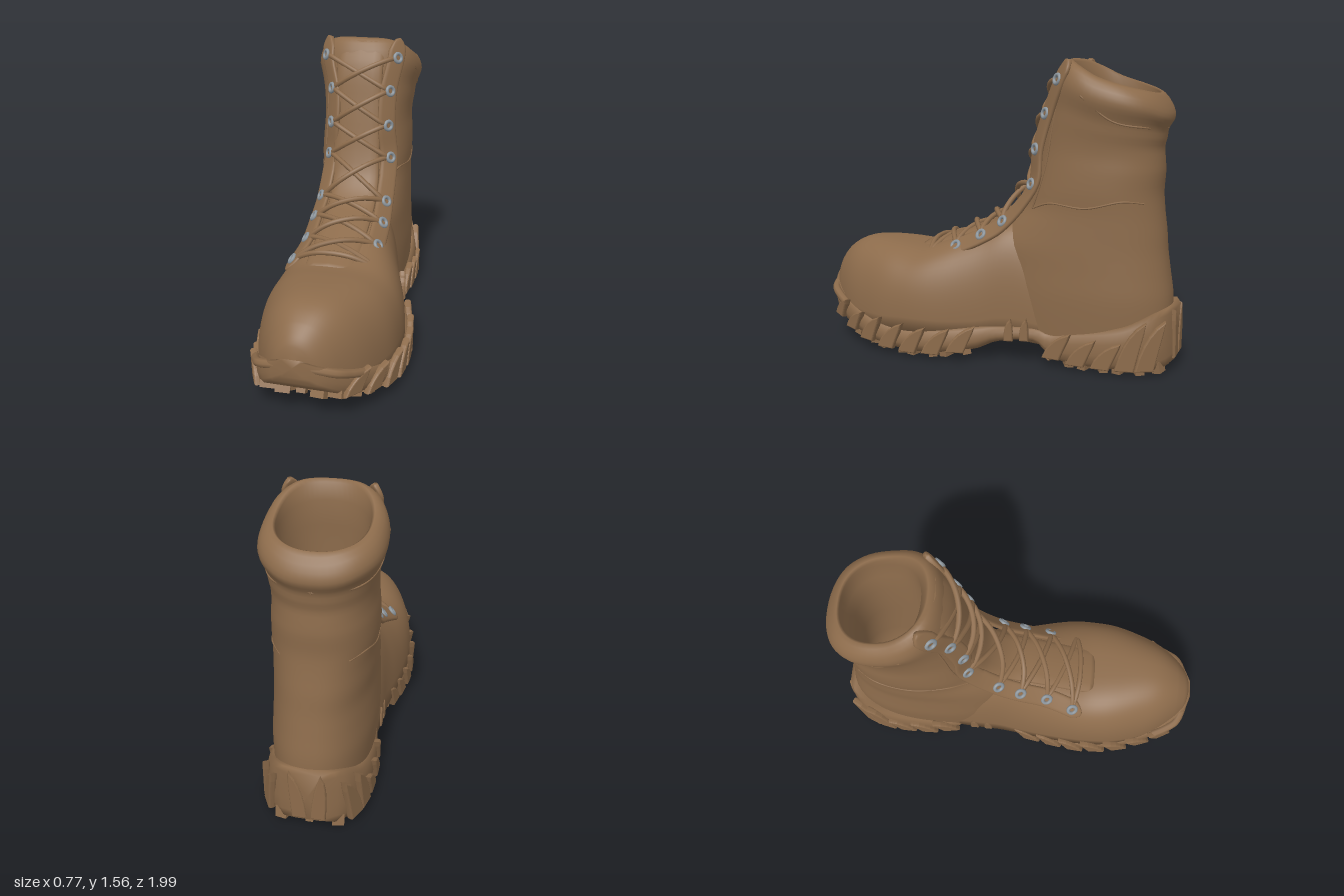
import * as THREE from 'three';

const V = (x, y, z) => new THREE.Vector3(x, y, z);
const leather = new THREE.MeshStandardMaterial({ color: 0x8c6b4b, side: THREE.DoubleSide });
leather.name = 'brown leather';
const metal = new THREE.MeshStandardMaterial({ color: 0x8b949b });
metal.name = 'grey metal';

// Smooth interpolation through rows of [key, value, value, ...]
const table = rows => t => {
  const last = rows.length - 1;
  t = Math.min(Math.max(t, rows[0][0]), rows[last][0]);
  let i = 0;
  while (i < last - 1 && t > rows[i + 1][0]) i++;
  const slope = (k, c) => {
    const a = rows[Math.max(k - 1, 0)], b = rows[Math.min(k + 1, last)];
    return (b[c] - a[c]) / (b[0] - a[0]);
  };
  const h = rows[i + 1][0] - rows[i][0], s = (t - rows[i][0]) / h;
  return rows[i].slice(1).map((p, c) => {
    const q = rows[i + 1][c + 1], m = slope(i, c + 1) * h, n = slope(i + 1, c + 1) * h;
    return p + s * (m + s * (3 * (q - p) - 2 * m - n + s * (2 * (p - q) + m + n)));
  });
};

// Skin a list of equal-sized closed rings, with both ends capped
function loft(rings) {
  const n = rings[0].length, pos = [], idx = [];
  rings.forEach(r => r.forEach(p => pos.push(p.x, p.y, p.z)));
  for (let i = 0; i < rings.length - 1; i++) for (let j = 0; j < n; j++) {
    const a = i * n + j, b = i * n + (j + 1) % n;
    idx.push(a, b, a + n, b, b + n, a + n);
  }
  [[0, true], [rings.length - 1, false]].forEach(([r, flip]) => {
    const c = pos.length / 3;
    const m = rings[r].reduce((s, p) => s.add(p), V(0, 0, 0)).divideScalar(n);
    pos.push(m.x, m.y, m.z);
    for (let j = 0; j < n; j++) {
      const a = r * n + j, b = r * n + (j + 1) % n;
      idx.push(...(flip ? [c, b, a] : [c, a, b]));
    }
  });
  const g = new THREE.BufferGeometry();
  g.setAttribute('position', new THREE.Float32BufferAttribute(pos, 3));
  g.setIndex(idx);
  g.computeVertexNormals();
  return g;
}
const sp = (v, e) => Math.sign(v) * Math.pow(Math.abs(v), e);
const steps = (a, b, n) => Array.from({ length: n + 1 }, (_, i) => a + (b - a) * i / n);

// z: half width, centre x, top, base, roundness
const foot = table([[-0.36, 0.23, -0.055, 0.62, 0.12, 2.6], [-0.2, 0.247, -0.05, 0.71, 0.12, 2.8], [-0.1, 0.262, -0.04, 0.72, 0.12, 2.8],
  [0, 0.285, -0.03, 0.69, 0.12, 2.6], [0.1, 0.31, -0.02, 0.65, 0.12, 2.6], [0.2, 0.332, -0.01, 0.61, 0.12, 2.7],
  [0.3, 0.347, -0.005, 0.572, 0.12, 2.9], [0.4, 0.352, -0.005, 0.548, 0.12, 3], [0.55, 0.342, -0.008, 0.557, 0.12, 2.8],
  [0.7, 0.3, -0.015, 0.56, 0.14, 2.5], [0.8, 0.255, -0.02, 0.545, 0.16, 2.4], [0.88, 0.2, -0.025, 0.505, 0.19, 2.3],
  [0.94, 0.145, -0.03, 0.45, 0.23, 2.1], [0.975, 0.09, -0.035, 0.395, 0.27, 2], [0.99, 0.02, -0.035, 0.33, 0.3, 2]]);

// level: back z, front z, half width, centre x
const shaft = table([[0.1, -0.95, 0, 0.235, -0.05], [0.35, -0.955, 0, 0.252, -0.055], [0.5, -0.935, 0, 0.248, -0.055],
  [0.6, -0.92, -0.01, 0.245, -0.055], [0.7, -0.91, -0.08, 0.245, -0.06], [0.8, -0.895, -0.165, 0.243, -0.062],
  [0.9, -0.885, -0.205, 0.25, -0.066], [1.0, -0.89, -0.23, 0.248, -0.067], [1.1, -0.885, -0.25, 0.242, -0.067],
  [1.18, -0.88, -0.268, 0.245, -0.067], [1.25, -0.89, -0.285, 0.253, -0.067], [1.32, -0.895, -0.3, 0.262, -0.07],
  [1.43, -0.925, -0.325, 0.288, -0.07], [1.5, -0.915, -0.35, 0.276, -0.07], [1.55, -0.885, -0.38, 0.25, -0.07]]);
const rim = table([[-0.95, 1.33], [-0.9, 1.36], [-0.85, 1.39], [-0.75, 1.42], [-0.6, 1.465], [-0.5, 1.515], [-0.42, 1.55], [-0.3, 1.55]]);
function shaftPoint(a, y, inset = 0) {
  let [zb, zf, hw, cx] = shaft(y);
  if (inset > 0.05) zf = Math.min(zf - 0.04, -0.38);
  zb += inset; zf -= inset; hw -= inset;
  const z = (zb + zf) / 2 + (zf - zb) / 2 * sp(Math.cos(a), 2 / 2.3);
  const yy = y > 1 ? 1 + (y - 1) * (rim(z)[0] - 1) / 0.55 : y;
  return V(cx + hw * sp(Math.sin(a), 2 / 2.3), yy, z);
}

// z: half width, centre x, bottom, top
const sole = table([[-0.985, 0.07, -0.06, 0.06, 0.31], [-0.96, 0.13, -0.06, 0.04, 0.32], [-0.9, 0.195, -0.055, 0.025, 0.3],
  [-0.75, 0.25, -0.05, 0.022, 0.23], [-0.5, 0.26, -0.05, 0.022, 0.18], [-0.38, 0.25, -0.045, 0.045, 0.16],
  [-0.3, 0.245, -0.04, 0.11, 0.18], [-0.1, 0.27, -0.02, 0.1, 0.18], [0, 0.3, -0.005, 0.06, 0.17],
  [0.2, 0.345, 0.005, 0.025, 0.15], [0.4, 0.365, 0, 0.022, 0.14], [0.6, 0.345, -0.005, 0.045, 0.17],
  [0.8, 0.27, -0.02, 0.095, 0.23], [0.9, 0.21, -0.03, 0.14, 0.27], [0.97, 0.13, -0.035, 0.2, 0.31], [0.995, 0.05, -0.04, 0.25, 0.34]]);

// Eyelets from top to toe: y, z, right x, left x
const eyelets = [[1.455, -0.395, -0.26, 0.125], [1.285, -0.325, -0.21, 0.1], [1.105, -0.275, -0.2, 0.103],
  [0.925, -0.26, -0.21, 0.122], [0.72, -0.105, -0.215, 0.135], [0.64, 0.015, -0.22, 0.145],
  [0.57, 0.16, -0.222, 0.152], [0.505, 0.305, -0.252, 0.18]];
const hole = (i, s) => V(eyelets[i][s > 0 ? 3 : 2], eyelets[i][0], eyelets[i][1]);
// Outward direction in the side plane at eyelet i
const out = i => {
  const a = eyelets[Math.max(i - 1, 0)], b = eyelets[Math.min(i + 1, 7)];
  return V(0, b[1] - a[1], a[0] - b[0]).normalize();
};

export function createModel() {
  const model = new THREE.Group();
  model.name = 'boot';
  const add = (name, geo, mat = leather, parent = model) => {
    const m = new THREE.Mesh(geo, mat);
    m.name = name;
    parent.add(m);
    return m;
  };
  const group = name => { const g = new THREE.Group(); g.name = name; model.add(g); return g; };
  const tube = (pts, r, seg = 24) => new THREE.TubeGeometry(new THREE.CatmullRomCurve3(pts), seg, r, 8);

  // Foot of the upper
  add('footUpper', loft([...steps(-0.36, 0.9, 44), ...steps(0.91, 0.99, 10)].map(z => {
    const [hw, cx, top, base, n] = foot(z);
    return steps(0, Math.PI, 36).map(a =>
      V(cx + hw * sp(Math.cos(a), 2 / n), base + (top - base) * sp(Math.sin(a), 2 / n), z));
  })));

  // Hollow shaft: outside, rolled rim, lining down to the insole
  const levels = [...steps(0.1, 1.53, 48).map(y => [y, 0]), [1.55, 0.01], [1.558, 0.03], [1.545, 0.045],
    [1.48, 0.07], [1.35, 0.065], [1.2, 0.06], [0.9, 0.06], [0.6, 0.06], [0.28, 0.07]];
  add('shaft', loft(levels.map(([y, k]) => steps(0, Math.PI * 2, 56).slice(0, 56).map(a => shaftPoint(a, y, k)))));

  // Sole body
  const half = [[0.88, 0], [0.97, 0.15], [1, 0.4], [0.99, 0.7], [0.95, 0.95], [0.86, 1.05]];
  const section = [...half, ...half.map(([x, y]) => [-x, y]).reverse()];
  add('sole', loft([...steps(-0.985, 0.9, 60), ...steps(0.92, 0.995, 8)].map(z => {
    const [hw, cx, b, t] = sole(z);
    return section.map(([x, y]) => V(cx + hw * x, b + (t - b) * y, z));
  })));

  // Slanted fins around the sole wall
  const fins = group('soleFins');
  const fin = (p, back, w, h, lean) => {
    const s = new THREE.Shape();
    s.moveTo(-w, 0);
    s.lineTo(w * 0.8, 0);
    s.quadraticCurveTo(w * 0.9 + lean * 0.3, h * 0.5, w * 0.4 + lean, h);
    s.quadraticCurveTo(-w + lean * 0.5, h * 0.7, -w, 0);
    const g = new THREE.ExtrudeGeometry(s, { depth: 0.012, bevelSize: 0.008, bevelThickness: 0.012, bevelSegments: 3, curveSegments: 5 });
    g.translate(0, 0, -0.006);
    const up = V(0, 1, 0);
    const m = add('fin', g, leather, fins);
    m.quaternion.setFromRotationMatrix(new THREE.Matrix4().makeBasis(back, up, back.clone().cross(up)));
    m.position.copy(p);
  };
  const edge = (z, s) => { const [hw, cx, b] = sole(z); return V(cx + s * hw, b, z); };
  for (const s of [-1, 1]) {
    for (const z of [0.86, 0.74, 0.61, 0.48, 0.35, 0.22, 0.09, -0.17, -0.25, -0.4, -0.53, -0.66, -0.78, -0.87]) {
      const t = edge(z - 0.03, s).sub(edge(z + 0.03, s)).setY(0).normalize();
      const arch = z < -0.1 && z > -0.3;
      const p = edge(z, s);
      p.y += 0.012;
      fin(p, t, arch ? 0.018 : 0.045, arch ? 0.1 : z < -0.7 ? 0.24 : z > 0.7 ? 0.1 : 0.13, arch ? 0 : 0.075);
    }
    fin(V(-0.06 + s * 0.045, 0.075, -0.975), V(1, 0, 0), 0.032, 0.24, s * 0.03);
  }

  // Toe bumper
  const rail = s => [0.8, 0.87, 0.93].map(z => edge(z, s).setY(sole(z)[3] - 0.02));
  add('toeBumper', tube([...rail(-1), V(-0.035, 0.3, 0.972), ...rail(1).reverse()], 0.022, 36));

  // Tread blocks, tilted along the bottom
  const tread = group('tread');
  const block = new THREE.BoxGeometry(1, 0.06, 0.045);
  steps(-0.92, 0.88, 20).forEach((z, row) => {
    if (z > -0.37 && z < -0.02) return;
    const [hw, cx, b] = sole(z);
    [-0.76, -0.4, 0, 0.4, 0.76].forEach((f, c) => {
      const m = add('treadBlock', block, leather, tread);
      m.position.set(cx + f * hw, b + 0.009, z + (c % 2 ? 0.02 : 0));
      m.scale.x = hw * (c === 2 ? 0.2 : 0.32);
      m.rotation.set(-Math.atan((sole(z + 0.03)[2] - sole(z - 0.03)[2]) / 0.06),
        c === 2 ? 0 : Math.sign(f) * (row % 2 ? 0.5 : -0.25), 0);
    });
  });

  // Tongue running up the middle
  const tonguePath = new THREE.CatmullRomCurve3([V(-0.035, 0.54, 0.42), V(-0.035, 0.583, 0.29), V(-0.035, 0.65, 0.12),
    V(-0.04, 0.72, -0.05), V(-0.045, 0.82, -0.15), V(-0.055, 0.95, -0.205), V(-0.06, 1.2, -0.265), V(-0.065, 1.42, -0.32), V(-0.065, 1.54, -0.39)]);
  const ribbon = (curve, cross, width, d, bend) => loft(steps(0, 1, 48).map(u => {
    const p = curve.getPoint(u), c = cross(u), n = c.clone().cross(curve.getTangent(u)).normalize(), w = width(u);
    return steps(0, Math.PI * 2, 16).slice(0, 16).map(a => {
      const x = sp(Math.cos(a), 0.5);
      return p.clone().addScaledVector(c, w * x).addScaledVector(n, d * sp(Math.sin(a), 0.7) - bend * x * x);
    });
  }));
  add('tongue', ribbon(tonguePath, () => V(1, 0, 0), () => 0.13, 0.013, 0.02));

  for (const s of [-1, 1]) {
    const side = s > 0 ? 'left' : 'right';
    // Eyelet flap with rounded ends
    const path = new THREE.CatmullRomCurve3([hole(0, s).add(V(0, 0.1, -0.045)), ...eyelets.map((_, i) => hole(i, s)), V(s * 0.24 - 0.03, 0.47, 0.36)]);
    const taper = u => 0.055 * Math.sqrt(Math.min(1, 0.05 + u / 0.07, 0.05 + (1 - u) / 0.1));
    add(side + 'EyeletFlap', ribbon(path, u => u < 0.5 ? V(s * 0.72, 0, -0.69) : V(s * 0.75, -0.6, -0.3).normalize(), taper, 0.014, 0));
    // Eyelets
    const rings = group(side + 'Eyelets');
    eyelets.forEach((_, i) => {
      const n = out(i).add(V(s * 1.2, 0, 0)).normalize();
      const e = add('eyelet', new THREE.TorusGeometry(0.023, 0.01, 8, 20), metal, rings);
      e.position.copy(hole(i, s)).addScaledVector(n, 0.016);
      e.quaternion.setFromUnitVectors(V(0, 0, 1), n);
    });
    // Panel seams on the shaft side
    [[[0.75, 0.8], [1.1, 0.84], [1.6, 0.83], [2.1, 0.87], [2.5, 0.86]], [[0.7, 1.5], [0.8, 1.2], [0.8, 1], [0.75, 0.8]],
      [[1.3, 1.42], [1.8, 1.33], [2.4, 1.32], [Math.PI, 1.34]]].forEach(pts =>
      add(side + 'Seam', tube(pts.map(([a, y]) => shaftPoint(s * a, y)), 0.005, 30)));
  }

  // Crossed laces and the straight one by the toe
  const laces = group('laces');
  const lace = (i, j, s, lift) => {
    const a = hole(i, s), b = hole(j, -s), n = out(i).add(out(j)).normalize();
    const at = (t, k) => a.clone().lerp(b, t).addScaledVector(n, k);
    add('lace', tube([a, at(0.06, 0.03), at(0.27, lift * 0.85), at(0.5, lift), at(0.73, lift * 0.85), at(0.94, 0.03), b], 0.014), leather, laces);
  };
  for (let i = 0; i < 7; i++) for (const s of [-1, 1]) lace(i, i + 1, s, (i < 3 ? 0.07 : 0.082) + s * 0.01);
  lace(7, 7, 1, 0.09);
  return model;
}
